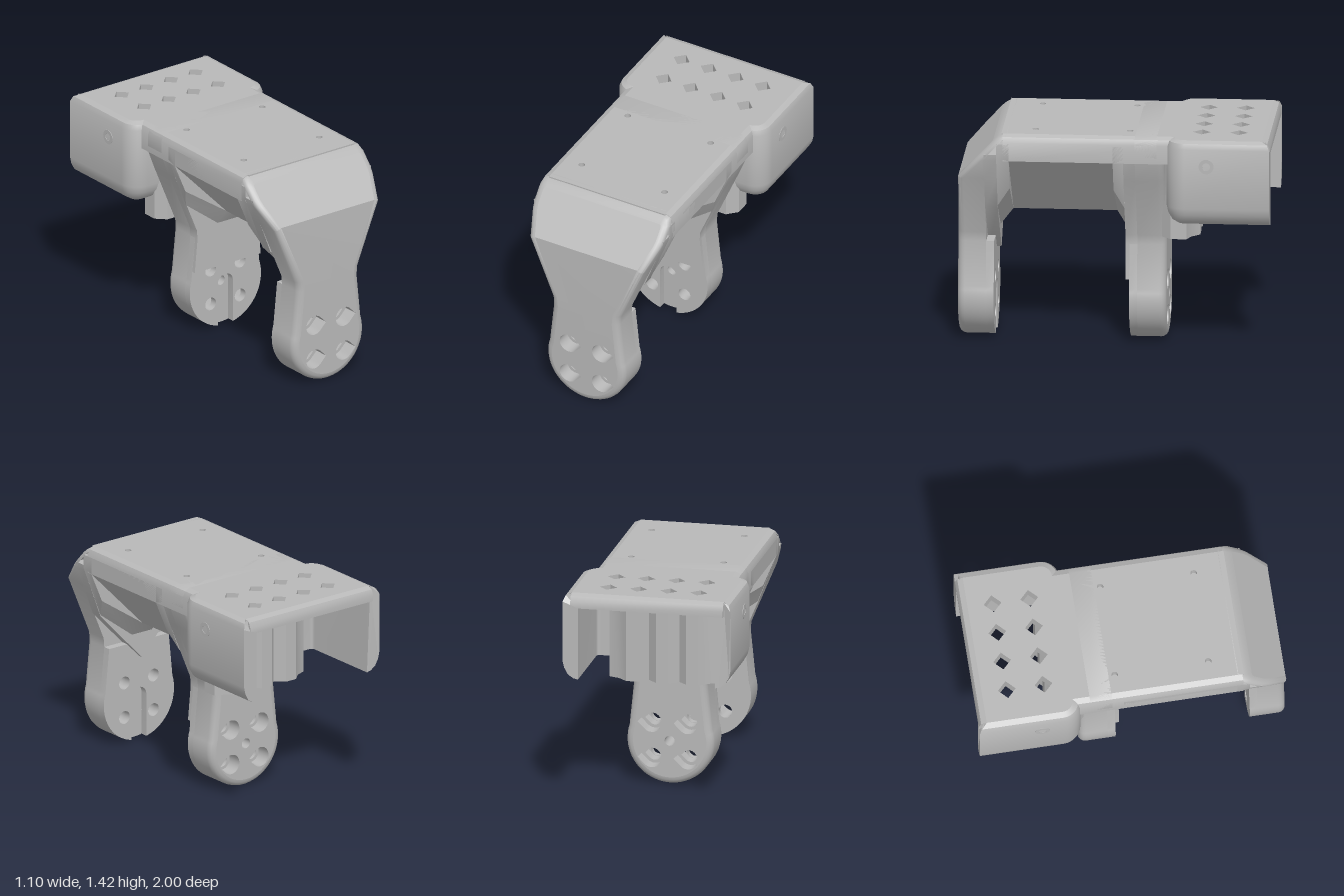
import * as THREE from 'three';
import { toCreasedNormals, mergeGeometries } from 'three/addons/utils/BufferGeometryUtils.js';

const V2 = (x, y) => new THREE.Vector2(x, y);
const grey = new THREE.MeshStandardMaterial({ color: 0xb8b8b8, side: THREE.DoubleSide });
grey.name = 'plain grey';

// right-hand half outline -> full symmetric outline (counter-clockwise)
function mirrored(half) {
  const left = half.filter(p => p[0] > 0).reverse().map(p => [-p[0], p[1]]);
  return [...half, ...left].map(p => V2(p[0], p[1]));
}

// move every point of an outline inwards by d
function inset(pts, d, closed = true) {
  const n = pts.length;
  const normal = (a, b) => V2(a.y - b.y, b.x - a.x).normalize();
  return pts.map((p, i) => {
    const prev = closed || i > 0 ? normal(pts[(i + n - 1) % n], p) : null;
    const next = closed || i < n - 1 ? normal(p, pts[(i + 1) % n]) : null;
    const a = prev || next, b = next || prev;
    const m = a.clone().add(b).normalize();
    return p.clone().addScaledVector(m, d / Math.max(m.dot(a), 0.5));
  });
}

// skin between successive rings of 3D points
function skin(rings, closed = true) {
  const n = rings[0].length, pos = [], idx = [];
  rings.forEach(r => r.forEach(p => pos.push(p.x, p.y, p.z)));
  for (let r = 0; r < rings.length - 1; r++) {
    for (let i = 0; i < (closed ? n : n - 1); i++) {
      const j = (i + 1) % n, a = r * n + i, b = r * n + j;
      idx.push(a, b, b + n, a, b + n, a + n);
    }
  }
  const g = new THREE.BufferGeometry();
  g.setAttribute('position', new THREE.Float32BufferAttribute(pos, 3));
  g.setIndex(idx);
  return toCreasedNormals(g, 0.7);
}

function shapeOf(pts, holes = []) {
  const s = new THREE.Shape(pts);
  s.holes = holes.map(h => new THREE.Path(h));
  return s;
}

// flat face with holes, z given by a rule of y
function face(pts, holes, zRule) {
  const g = new THREE.ShapeGeometry(shapeOf(pts, holes)), p = g.attributes.position;
  for (let i = 0; i < p.count; i++) p.setZ(i, zRule(p.getY(i)));
  g.deleteAttribute('uv');
  return toCreasedNormals(g, 0.1);
}

function slabZ(pts, holes, z0, z1) {
  const g = new THREE.ExtrudeGeometry(shapeOf(pts, holes), { depth: z1 - z0, bevelEnabled: false });
  g.translate(0, 0, z0);
  g.deleteAttribute('uv');
  return toCreasedNormals(g, 0.6);
}
// same, but drawn in plan (x, -z) and raised from y0 to y1
const slabY = (pts, holes, y0, y1) => slabZ(pts, holes, y0, y1).rotateX(-Math.PI / 2);

function arc(cx, cy, r, a0, a1, n) {
  return Array.from({ length: n + 1 }, (_, i) => {
    const a = a0 + (a1 - a0) * i / n;
    return V2(cx + r * Math.cos(a), cy + r * Math.sin(a));
  });
}
const circle = (x, y, r) => arc(x, y, r, 0, Math.PI * 2, 20).slice(0, -1);
const teardrop = (x, y, r) => [...arc(x, y, r, Math.PI / 4, Math.PI * 7 / 4, 18), V2(x + r * 1.41, y)];
const at = (pts, z) => pts.map(p => new THREE.Vector3(p.x, p.y, z));

// leg outline: round foot, narrow waist, flared shoulder
const foot = arc(0, 0.283, 0.283, -Math.PI / 2, 0.31, 20).map(p => [Math.abs(p.x) < 1e-6 ? 0 : p.x, p.y]);
const flare = [[0.24, 0.66], [0.245, 0.72], [0.412, 1.12], [0.462, 1.25], [0.47, 1.29], [0.47, 1.37], [0.455, 1.405], [0.42, 1.42]];
const legHalf = [...foot, ...flare];
const legOutline = mirrored(legHalf);
const kneeIndex = foot.length + 2;
const screwSpots = [[-0.117, 0.17], [0.117, 0.17], [-0.117, 0.403], [0.117, 0.403]];

// leg body between inner plane zIn and outer rule zOut; s is the outward direction
function legBody(zIn, zOut, s, axleHole) {
  const b = 0.045, N = legOutline.length, parts = [];
  const zInner = y => (s > 0 ? Math.min(zIn, zOut(y) - 0.05) : zIn);
  const rings = [legOutline.map(p => new THREE.Vector3(p.x, p.y, zInner(p.y)))];
  for (let k = 0; k <= 4; k++) {
    const a = k / 4 * Math.PI / 2;
    rings.push(inset(legOutline, b * (1 - Math.cos(a)))
      .map(p => new THREE.Vector3(p.x, p.y, zOut(p.y) - s * b * (1 - Math.sin(a)))));
  }
  parts.push(skin(rings));
  const axle = axleHole ? [circle(0, 0.287, 0.033)] : [];
  const big = screwSpots.map(([x, y]) => teardrop(x, y, 0.065));
  const small = screwSpots.map(([x, y]) => teardrop(x, y, 0.045));
  const outer = inset(legOutline, b);
  const lower = o => [...o.slice(0, kneeIndex + 1), ...o.slice(N - kneeIndex)];
  parts.push(face(lower(outer), [...big, ...axle], zOut));
  parts.push(face(outer.slice(kneeIndex, N - kneeIndex + 1), [], zOut));
  parts.push(face(lower(legOutline), [...small, ...axle], () => zIn));
  // counterbored screw holes
  const z1 = zOut(0), zMid = z1 - s * 0.1;
  big.forEach((h, i) => {
    parts.push(skin([at(h, z1), at(h, zMid)]), skin([at(small[i], zMid), at(small[i], zIn)]));
    parts.push(face(h, [small[i]], () => zMid));
  });
  axle.forEach(h => parts.push(skin([at(h, z1), at(h, zIn)])));
  return mergeGeometries(parts);
}

// inner foot pad with an open keyway from the bottom to the axle
function footPad(z0, z1) {
  const w = 0.06, yEdge = 0.283 - Math.sqrt(0.283 ** 2 - w * w);
  const side = [[w, yEdge], ...foot.filter(p => p[0] > w + 0.01), flare[0]];
  const pts = [...mirrored(side), ...arc(0, 0.29, w, Math.PI, 0, 12)];
  return slabZ(pts, screwSpots.map(([x, y]) => circle(x, y, 0.043)), z0, z1);
}

// tapering gusset from a leg plane to the central keel
function gusset(zLeg, zKeel) {
  const a = mirrored([[0.08, 0.73], [0.333, 0.92], [0.47, 1.27], [0.47, 1.36]]);
  const b = mirrored([[0.06, 0.83], [0.385, 1.05], [0.47, 1.25], [0.47, 1.36]]);
  return mergeGeometries([skin([at(a, zLeg), at(b, zKeel)]), face(b, [], () => zKeel)]);
}

export function createModel() {
  const model = new THREE.Group();
  model.name = 'bracket';
  const add = (name, g) => {
    const m = new THREE.Mesh(g, grey);
    m.name = name;
    model.add(m);
  };

  // front leg with sloping shoulder
  add('frontLeg', legBody(0.82, y => Math.min(1, 1 - (y - 1.12) * 0.93), 1, false));
  add('frontFootPad', footPad(0.77, 0.82));
  add('frontLegPlate', slabZ(mirrored([[0, 0.56], [0.333, 0.91], [0.412, 1.12], [0.462, 1.25], [0.47, 1.29]]), [], 0.74, 0.82));
  add('frontGusset', gusset(0.74, 0.66));

  // rear leg
  add('rearLeg', legBody(-0.14, () => -0.325, -1, true));
  add('rearFootPad', footPad(-0.14, -0.09));
  add('rearLegPlate', slabZ(mirrored([[0.262, 0.43], ...flare.slice(0, 5)]), [], -0.14, -0.065));
  add('rearGusset', gusset(-0.065, 0));

  // bridge: rounded rails, top skin with pilot holes, and V-shaped keel
  const railTop = [[0.47, 1.37], [0.455, 1.405], [0.42, 1.42], [0.42, 1.37]];
  add('bridgeRails', slabZ(mirrored([[0.47, 1.25], ...railTop]), [], -0.41, 0.7));
  const pilots = [-0.3, 0.3].flatMap(x => [-0.5, 0.1].map(v => circle(x, v, 0.021)));
  add('bridgeTop', slabY([V2(-0.42, -0.71), V2(0.42, -0.71), V2(0.42, 0.41), V2(-0.42, 0.41)], pilots, 1.37, 1.42));
  add('keel', slabZ(mirrored([[0.06, 0.83], [0.47, 1.25], [0.47, 1.36]]), [], 0, 0.66));

  // rear housing: U-shaped wall, open at the back and below
  const plan = [V2(-0.545, 1), ...arc(-0.425, 0.46, 0.12, Math.PI, Math.PI * 1.5, 8),
    ...arc(0.425, 0.46, 0.12, -Math.PI / 2, 0, 8), V2(0.545, 1)];
  const section = [[0.1, 1.33], [0.1, 0.86], [0.07, 0.867], [0.035, 0.89], [0.01, 0.935], [0, 0.98], [0, 1.37], [0.015, 1.405], [0.05, 1.42]];
  const wall = section.map(([d, y]) => inset(plan, d, false)
    .map(p => new THREE.Vector3(p.x, y, -(y > 1.36 ? Math.min(p.y, 1 - d) : p.y))));
  add('housingWall', skin(wall, false));
  for (const s of [-1, 1]) {
    add('housingWallEnd', face(section.map(([d, y]) => V2(s * (0.545 - d), y)), [], y => (y > 1.38 ? -0.97 : -1)));
    const ring = slabZ(circle(0, 0, 0.048), [circle(0, 0, 0.025)], 0, 0.003);
    add('sideScrewRing', ring.rotateY(s * Math.PI / 2).translate(s * 0.545, 1.26, -0.6));
  }

  // housing roof with diamond vents
  const roof = inset(plan, 0.05, false).map(p => V2(p.x, Math.min(p.y, 0.95)));
  const vents = [-0.293, -0.098, 0.098, 0.293].flatMap(x => [0.555, 0.79].map(v =>
    [V2(x + 0.057, v), V2(x, v + 0.057), V2(x - 0.057, v), V2(x, v - 0.057)]));
  add('housingRoof', slabY(roof, vents, 1.33, 1.42));
  const lip = [V2(0.95, 1.33), V2(1, 1.33), V2(1, 1.37), V2(0.985, 1.405), V2(0.95, 1.42)];
  add('roofLip', slabZ(lip, [], -0.495, 0.495).rotateY(Math.PI / 2));

  // upright ribs inside the housing
  const ribs = mirrored([[0.3, 0.3], [0.36, 0.36], [0.36, 0.46], [0.293, 0.485], [0.235, 0.54], [0.155, 0.54],
    [0.098, 0.485], [0.04, 0.54]]);
  add('ribs', slabY(ribs, [], 0.73, 1.34));

  return model;
}
